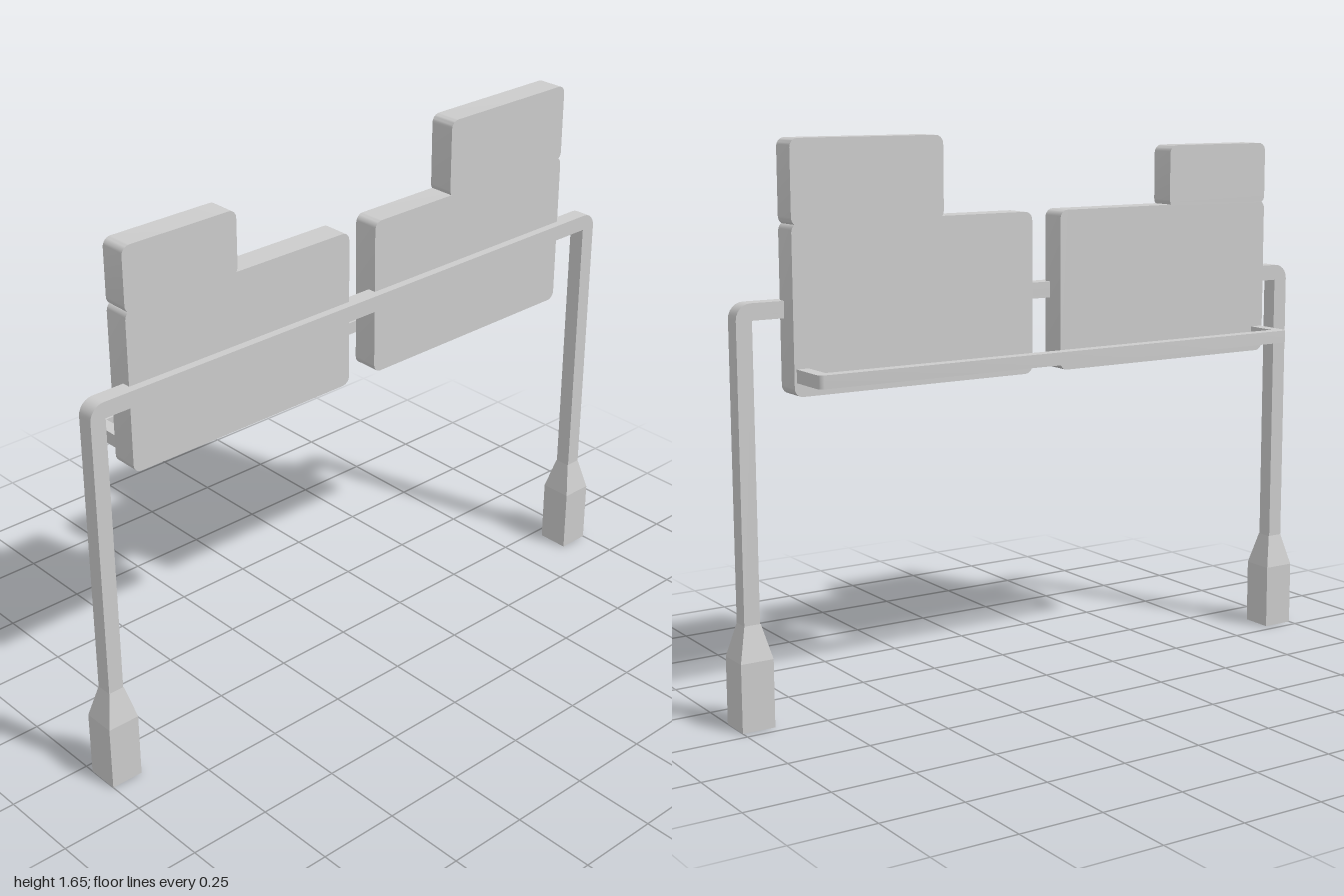
import * as THREE from 'three';
import { toCreasedNormals } from 'three/addons/utils/BufferGeometryUtils.js';

const material = new THREE.MeshStandardMaterial({ color: 0xcccccc });

function addMesh(group, name, geometry) {
  const mesh = new THREE.Mesh(geometry, material);
  mesh.name = name;
  group.add(mesh);
  return mesh;
}

function extrude(shape, depth) {
  const g = new THREE.ExtrudeGeometry(shape, { depth, bevelEnabled: false, curveSegments: 3 });
  return toCreasedNormals(g, 0.7);
}

// Upright rounded plate: z and y ranges, thickness along x
function plate(z0, z1, y0, y1, r = 0.025) {
  const a = -z1, b = -z0;
  const s = new THREE.Shape();
  s.moveTo(a + r, y0);
  s.lineTo(b - r, y0);
  s.absarc(b - r, y0 + r, r, -Math.PI / 2, 0);
  s.lineTo(b, y1 - r);
  s.absarc(b - r, y1 - r, r, 0, Math.PI / 2);
  s.lineTo(a + r, y1);
  s.absarc(a + r, y1 - r, r, Math.PI / 2, Math.PI);
  s.lineTo(a, y0 + r);
  s.absarc(a + r, y0 + r, r, Math.PI, Math.PI * 1.5);
  return extrude(s, 0.08).rotateY(Math.PI / 2);
}

// U-shaped square bar: legs run from v = base to v = top, with rounded outer corners
function archShape(half, base, top, t, r) {
  const s = new THREE.Shape();
  s.moveTo(half, base);
  s.lineTo(half, top - r);
  s.absarc(half - r, top - r, r, 0, Math.PI / 2);
  s.lineTo(-half + r, top);
  s.absarc(-half + r, top - r, r, Math.PI / 2, Math.PI);
  s.lineTo(-half, base);
  s.lineTo(-half + t, base);
  s.lineTo(-half + t, top - t);
  s.lineTo(half - t, top - t);
  s.lineTo(half - t, base);
  s.closePath();
  return s;
}

export function createModel() {
  const group = new THREE.Group();
  group.name = 'signGantry';

  // Main gantry frame: two posts and the crossbeam
  const frame = extrude(archShape(0.975, 0.29, 1.202, 0.048, 0.045), 0.05);
  addMesh(group, 'gantryFrame', frame.rotateY(Math.PI / 2)).position.x = 0.055;

  // Feet: square block with a tapered collar up to the post
  const diagonal = Math.SQRT1_2;
  for (const side of [1, -1]) {
    const foot = new THREE.Group();
    foot.name = side > 0 ? 'frontFoot' : 'backFoot';
    foot.position.set(0.08, 0, side * 0.95);
    addMesh(foot, 'footBlock', new THREE.BoxGeometry(0.1, 0.2, 0.1)).position.y = 0.1;
    const collar = new THREE.CylinderGeometry(0.05 * diagonal, 0.1 * diagonal, 0.1, 4, 1, true)
      .rotateY(Math.PI / 4);
    addMesh(foot, 'footCollar', toCreasedNormals(collar, 0.7)).position.y = 0.25;
    group.add(foot);
  }

  // Sign boards, each with a smaller tab on its outer top corner
  addMesh(group, 'frontSignBoard', plate(0.05, 0.83, 0.94, 1.418));
  addMesh(group, 'frontSignTab', plate(0.455, 0.83, 1.408, 1.598));
  addMesh(group, 'backSignBoard', plate(-0.83, -0.05, 0.94, 1.418));
  addMesh(group, 'backSignTab', plate(-0.83, -0.35, 1.408, 1.646));

  // Light rail on brackets behind the boards
  const rail = extrude(archShape(0.823, -0.01, 0.135, 0.037, 0.02), 0.038);
  rail.rotateX(-Math.PI / 2).rotateY(Math.PI / 2);
  addMesh(group, 'lightRail', rail).position.y = 0.98;

  return group;
}
